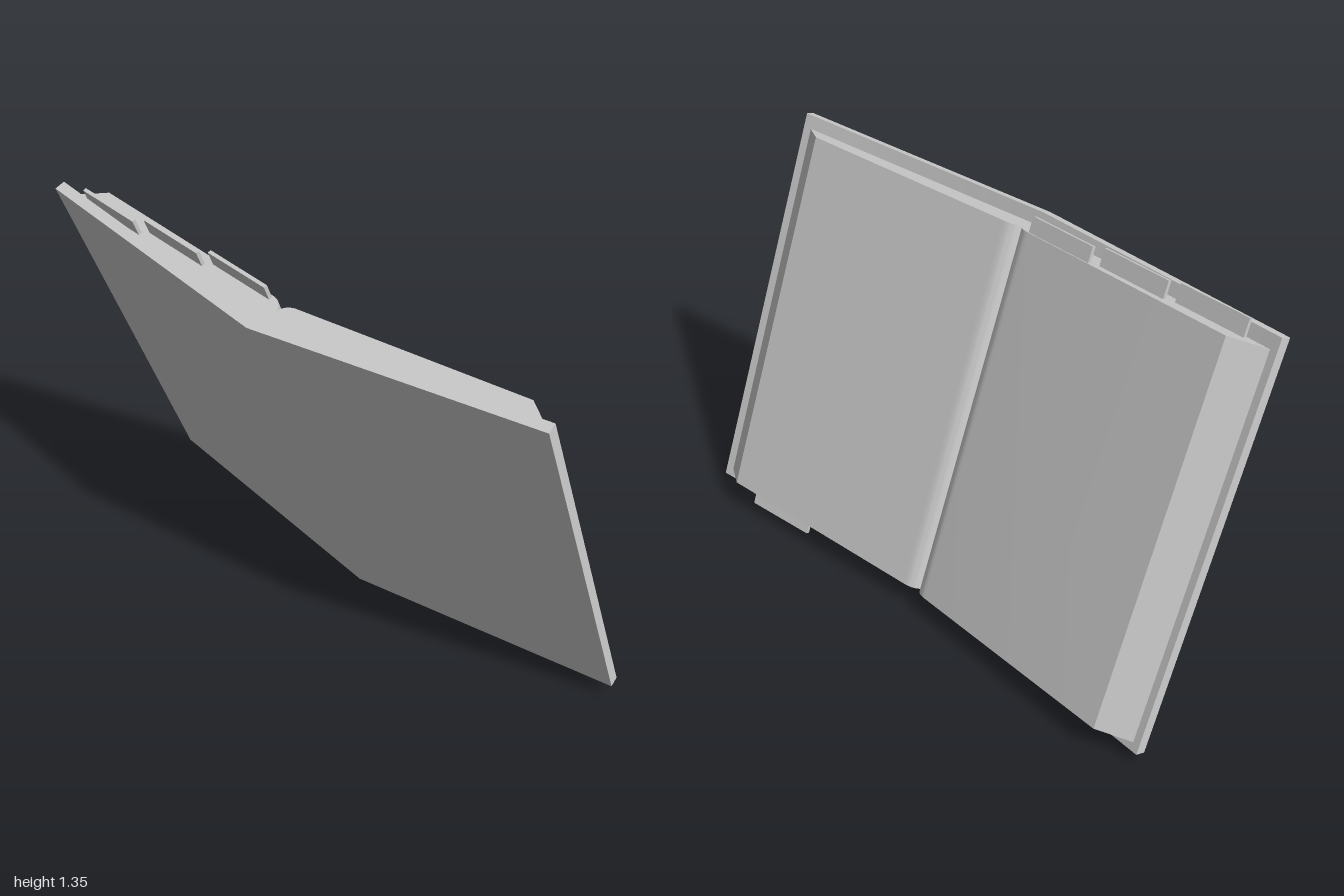
import * as THREE from 'three';
import { toCreasedNormals } from 'three/addons/utils/BufferGeometryUtils.js';

// Local frame: x across the open book, y towards the cover side, z down the spine.
const spine = new THREE.Vector3(0.05, 1.275, 0.48).normalize();
const across = new THREE.Vector3().crossVectors(spine, new THREE.Vector3(0, -0.352, 0.935)).normalize();
const outward = new THREE.Vector3().crossVectors(across, spine);

const material = new THREE.MeshStandardMaterial({ color: 0xcccccc });

function addMesh(group, name, geometry) {
  const mesh = new THREE.Mesh(geometry, material);
  mesh.name = name;
  group.add(mesh);
  return mesh;
}

// Extrudes a cross-section along the spine between two distances from its top
function alongSpine(shape, from, to) {
  const geometry = new THREE.ExtrudeGeometry(shape, { depth: to - from, bevelEnabled: false, curveSegments: 8 });
  geometry.translate(0, 0, from);
  return toCreasedNormals(geometry, 0.5);
}

export function createModel() {
  const model = new THREE.Group();
  model.name = 'openBook';
  const book = new THREE.Group();
  book.name = 'tiltedBook';
  model.add(book);

  // Two cover boards meeting at the fold
  const cover = new THREE.Shape([
    [0, 0], [-0.99, -0.008], [-0.99, -0.044], [-0.004, -0.036], [0.942, -0.279], [0.951, -0.245],
  ].map(([x, y]) => new THREE.Vector2(x, y)));
  addMesh(book, 'cover', alongSpine(cover, -0.008, 1.359));

  // Page block with sloped fore-edges and a rounded gutter
  const pages = new THREE.Shape();
  pages.moveTo(-0.967, -0.042);
  pages.lineTo(-0.865, -0.12);
  pages.lineTo(-0.07, -0.147);
  pages.quadraticCurveTo(-0.025, -0.148, -0.014, -0.112);
  pages.quadraticCurveTo(-0.008, -0.148, 0.04, -0.156);
  pages.lineTo(0.815, -0.321);
  pages.lineTo(0.916, -0.27);
  pages.lineTo(-0.004, -0.034);
  addMesh(book, 'pages', alongSpine(pages, 0.037, 1.33));

  // Index tabs: centre x, depth y, start and end along the spine, tilt
  [
    ['topTab1', -0.755, -0.062, -0.022, 0.1, -0.035],
    ['topTab2', -0.475, -0.097, -0.02, 0.1, -0.035],
    ['topTab3', -0.195, -0.131, -0.015, 0.1, -0.035],
    ['bottomTab', 0.64, -0.227, 1.27, 1.392, -0.24],
  ].forEach(([name, x, y, from, to, tilt]) => {
    const tab = addMesh(book, name, new THREE.BoxGeometry(0.256, 0.012, to - from));
    tab.position.set(x, y, (from + to) / 2);
    tab.rotation.z = tilt;
  });

  // Lean the whole book
  book.quaternion.setFromRotationMatrix(
    new THREE.Matrix4().makeBasis(across, outward, spine.clone().negate()));
  book.position.set(0.045, 1.275, 0.39);
  return model;
}
